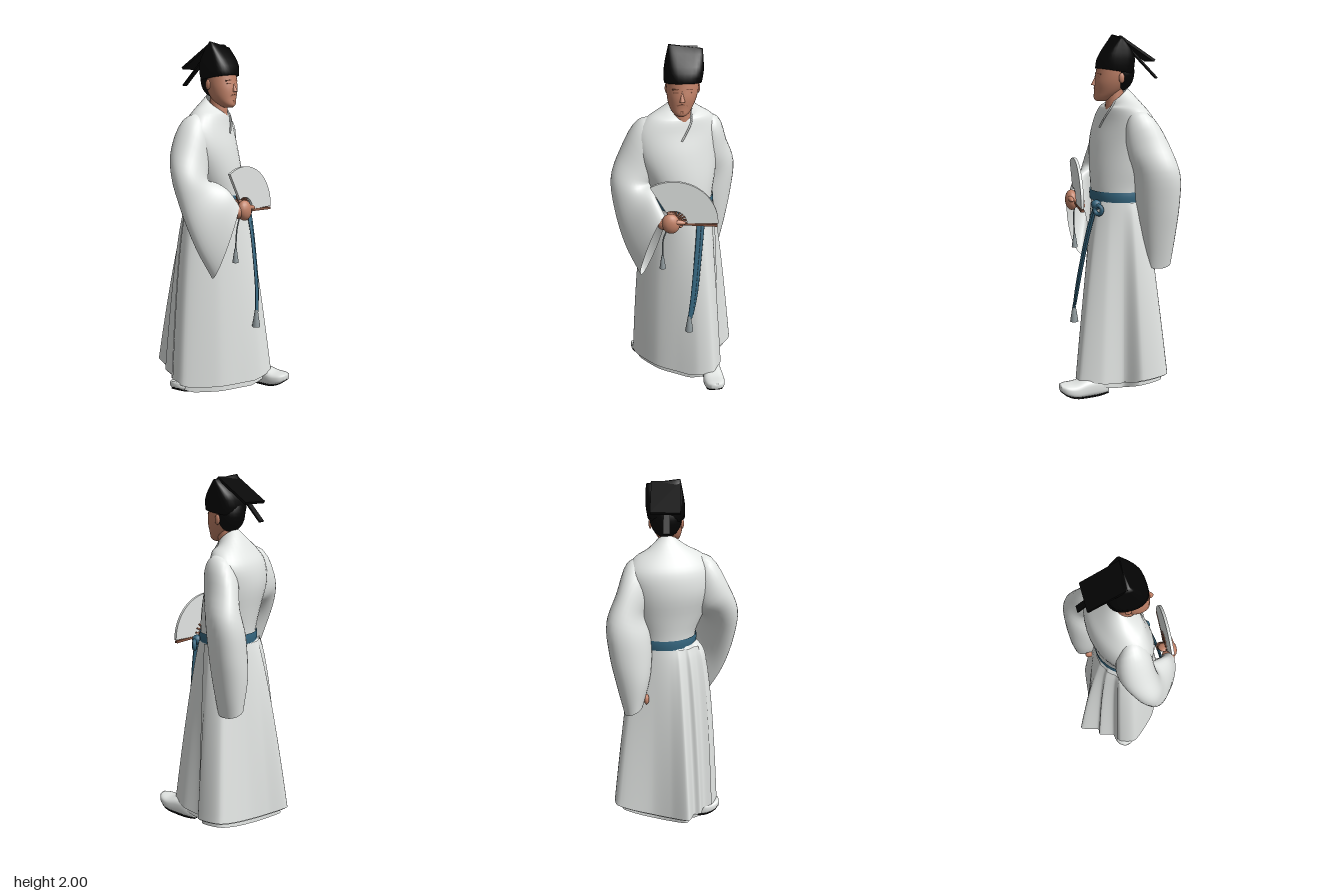
import * as THREE from 'three';

const V = (x, y, z) => new THREE.Vector3(x, y, z);
const mat = (name, color) => {
  const m = new THREE.MeshStandardMaterial({ color, side: THREE.DoubleSide });
  m.name = name;
  return m;
};

export function createModel() {
  const model = new THREE.Group();
  const robe = mat('robe white', 0xe2e5e3), skin = mat('skin', 0xc28268), black = mat('black cloth', 0x040404);
  const blue = mat('sash blue', 0x35667f), grey = mat('tassel grey', 0x8f999c), brown = mat('warm brown', 0x8a5742);

  const add = (name, geo, material, parent = model) => {
    const m = new THREE.Mesh(geo, material);
    m.name = name;
    parent.add(m);
    return m;
  };
  // Cross-section: centre c, half axes a and b; e < 1 makes it boxier
  const ring = (c, a, b, e = 1, n = 32) => Array.from({ length: n }, (_, i) => {
    const t = -i / n * Math.PI * 2, s = v => Math.sign(v) * Math.abs(v) ** e;
    return c.clone().addScaledVector(a, s(Math.cos(t))).addScaledVector(b, s(Math.sin(t)));
  });
  // Level ellipse, turned by yaw about the vertical
  const level = (y, cx, cz, rx, rz, yaw = 0) => {
    const c = Math.cos(yaw), s = Math.sin(yaw);
    return ring(V(cx, y, cz), V(rx * c, 0, -rx * s), V(rz * s, 0, rz * c));
  };
  // Skin through cross-sections, with steps in between along smooth curves
  const loft = (rings, { closed = true, steps = 4, caps = false } = {}) => {
    const n = rings[0].length, rows = (rings.length - 1) * steps;
    const cols = rings[0].map((_, j) => new THREE.CatmullRomCurve3(rings.map(r => r[j])));
    const pos = [], idx = [];
    for (let i = 0; i <= rows; i++) for (const c of cols) pos.push(...c.getPoint(i / rows).toArray());
    for (let i = 0; i < rows; i++) for (let j = 0; j < (closed ? n : n - 1); j++) {
      const a = i * n + j, b = i * n + (j + 1) % n;
      idx.push(a, b, a + n, b, b + n, a + n);
    }
    if (caps) for (const row of [0, rows]) {
      const mid = V(0, 0, 0), k = pos.length / 3;
      rings[row ? rings.length - 1 : 0].forEach(p => mid.addScaledVector(p, 1 / n));
      pos.push(...mid.toArray());
      for (let j = 0; j < n; j++) {
        const a = row * n + j, b = row * n + (j + 1) % n;
        row ? idx.push(a, b, k) : idx.push(b, a, k);
      }
    }
    const g = new THREE.BufferGeometry();
    g.setAttribute('position', new THREE.Float32BufferAttribute(pos, 3));
    g.setIndex(idx);
    g.computeVertexNormals();
    return g;
  };
  const tube = (pts, r) => new THREE.TubeGeometry(new THREE.CatmullRomCurve3(pts), 16, r, 8);

  // Upper robe, waist to collar
  add('upperRobe', loft([
    level(1.08, 0.045, -0.03, 0.165, 0.15, 0.25), level(1.16, 0.045, -0.03, 0.168, 0.152, 0.25),
    level(1.28, 0.03, -0.04, 0.205, 0.155, 0.3), level(1.42, 0.01, -0.06, 0.24, 0.153, 0.3),
    level(1.53, 0.015, -0.07, 0.24, 0.13, 0.3), level(1.605, 0.025, -0.06, 0.185, 0.1, 0.28),
    ring(V(0.028, 1.645, -0.04), V(0.105, 0, -0.02), V(0, -0.03, 0.075)),
    ring(V(0.033, 1.67, -0.025), V(0.06, 0, 0), V(0, -0.045, 0.055)),
  ]), robe);
  add('lapel', tube([V(0.085, 1.645, 0.0), V(0.085, 1.6, 0.03), V(0.06, 1.55, 0.056), V(0.03, 1.5, 0.074)], 0.005), robe);

  // Sleeves: each section has an outer point, an inner point and a half thickness
  const sleeve = (name, sections) => add(name, loft(sections.map(([o, i, t]) => {
    const O = V(...o), I = V(...i);
    return ring(O.clone().add(I).multiplyScalar(0.5), O.sub(I).multiplyScalar(0.5), V(...t), 0.95);
  })), robe);
  sleeve('rightSleeve', [
    [[-0.1, 1.615, -0.03], [-0.07, 1.46, -0.02], [0.02, 0, 0.05]],
    [[-0.2, 1.59, -0.035], [-0.1, 1.35, -0.03], [0.01, 0, 0.09]],
    [[-0.305, 1.42, -0.04], [-0.12, 1.28, -0.01], [-0.005, 0, 0.1]],
    [[-0.355, 1.28, -0.02], [-0.15, 1.25, 0.04], [-0.025, 0, 0.082]],
    [[-0.34, 1.1, 0.02], [-0.14, 1.24, 0.1], [-0.03, 0, 0.06]],
    [[-0.285, 0.89, 0.075], [-0.115, 1.2, 0.165], [-0.03, 0, 0.05]],
    [[-0.2, 0.715, 0.12], [-0.075, 1.12, 0.205], [-0.035, 0, 0.05]],
  ]);
  sleeve('leftSleeve', [
    [[0.16, 1.61, -0.09], [0.1, 1.46, -0.09], [0.02, 0, 0.05]],
    [[0.245, 1.575, -0.115], [0.13, 1.37, -0.12], [0.01, 0, 0.095]],
    [[0.305, 1.42, -0.16], [0.15, 1.3, -0.14], [-0.01, 0, 0.12]],
    [[0.355, 1.28, -0.195], [0.13, 1.2, -0.18], [-0.02, 0, 0.12]],
    [[0.345, 1.1, -0.2], [0.12, 1.08, -0.195], [-0.02, 0, 0.115]],
    [[0.315, 0.92, -0.2], [0.13, 0.94, -0.21], [-0.01, 0, 0.1]],
    [[0.275, 0.73, -0.205], [0.17, 0.78, -0.215], [0, 0, 0.075]],
  ]);

  // Skirt: waist ellipse flaring to a pleated hem outline (x, z pairs)
  const hem = new THREE.CatmullRomCurve3([
    [0, 0.19], [0.12, 0.25], [0.22, 0.25], [0.275, 0.13], [0.265, 0], [0.345, -0.08], [0.325, -0.23], [0.12, -0.265],
    [0.01, -0.31], [-0.09, -0.365], [-0.12, -0.26], [-0.16, -0.255], [-0.18, -0.17], [-0.245, -0.14], [-0.265, -0.04], [-0.13, 0.115],
  ].map(([x, z]) => V(x, 0, z)), true, 'catmullrom', 0.35);
  const skirtPoint = (u, t, grow, low) => {
    const h = hem.getPoint(u), a = Math.atan2(h.z + 0.03, h.x - 0.045);
    const flare = 0.78 - 0.4 * THREE.MathUtils.smoothstep(-h.x, 0.05, 0.25); // right side widens sooner
    const w = V(0.045 + 0.168 * Math.cos(a), 0, -0.03 + 0.15 * Math.sin(a)).lerp(h, t ** flare);
    const far = Math.max(0, Math.hypot(h.x, h.z) - 0.24);
    return V(0.03 + (w.x - 0.03) * grow, 1.12 - t * (1.12 - low - far * 0.35), -0.03 + (w.z + 0.03) * grow);
  };
  const skirt = (u0, u1, n, grow, low, t0, t1) => Array.from({ length: 8 }, (_, i) =>
    Array.from({ length: n }, (_, j) => skirtPoint((u0 + (u1 - u0) * j / n + 1) % 1, t0 + (t1 - t0) * (i / 7) ** 1.5, grow, low)));
  add('skirt', loft(skirt(0, 1, 112, 0.985, 0.06, 0, 1)), robe);
  add('backPanel', loft(skirt(0.25, 0.8, 66, 1.02, 0.07, 0.02, 1), { closed: false }), robe);
  add('innerRobe', loft(skirt(0, 1, 112, 0.9, 0.025, 0.6, 1), { steps: 1 }), robe);

  // Belt, knot and hanging sash
  add('belt', loft([
    level(1.1, 0.045, -0.03, 0.172, 0.158, 0.25), level(1.13, 0.045, -0.03, 0.175, 0.16, 0.25), level(1.155, 0.045, -0.03, 0.172, 0.158, 0.25),
  ], { steps: 2 }), blue);
  const knot = add('sashKnot', new THREE.SphereGeometry(0.028, 16, 12), blue);
  knot.position.set(0.14, 1.085, 0.125);
  const bow = add('sashLoop', new THREE.TorusGeometry(0.024, 0.012, 8, 20), blue);
  bow.position.set(0.165, 1.06, 0.12);
  bow.rotation.y = 0.7;
  const ribbon = (pts, w, d) => loft(pts.map(p => ring(V(...p), V(w, 0, 0), V(0, 0, d), 0.7, 12)), { caps: true });
  add('sashEnd', ribbon([[0.125, 1.09, 0.125], [0.115, 0.95, 0.165], [0.102, 0.8, 0.195], [0.085, 0.62, 0.225], [0.068, 0.48, 0.24]], 0.013, 0.006), blue);
  add('sashEnd', ribbon([[0.145, 1.08, 0.125], [0.132, 0.95, 0.158], [0.115, 0.78, 0.192], [0.098, 0.62, 0.219], [0.075, 0.5, 0.235]], 0.014, 0.006), blue);
  const tassel = (x, y, z, r, h) => add('tassel', new THREE.CylinderGeometry(r * 0.35, r, h, 12), grey).position.set(x, y, z);
  tassel(0.064, 0.445, 0.238, 0.024, 0.1);

  // Head, neck and face
  const head = new THREE.Group();
  head.name = 'head';
  model.add(head);
  add('neck', new THREE.CylinderGeometry(0.047, 0.054, 0.13, 20), skin, head).position.set(0.035, 1.65, -0.012);
  add('face', loft([
    level(1.642, 0.026, 0.062, 0.02, 0.025), level(1.655, 0.026, 0.057, 0.04, 0.045), level(1.69, 0.028, 0.032, 0.064, 0.07),
    level(1.74, 0.034, 0.016, 0.08, 0.087), level(1.79, 0.038, 0.005, 0.086, 0.09), level(1.85, 0.04, 0, 0.085, 0.085),
  ], { caps: true }), skin, head);
  const nose = add('nose', new THREE.ConeGeometry(0.015, 0.055, 12), skin, head);
  nose.position.set(0.029, 1.755, 0.101);
  nose.rotation.x = -0.2;
  const bar = (name, x, y, z, w, h, tilt) => {
    const m = add(name, new THREE.BoxGeometry(w, h, 0.008), brown, head);
    m.position.set(x, y, z);
    m.rotation.set(0, Math.sign(x - 0.03) * 0.3, tilt);
  };
  for (const s of [-1, 1]) {
    bar('eyebrow', 0.032 + s * 0.036, 1.79, 0.085, 0.036, 0.006, s * -0.12);
    bar('eye', 0.032 + s * 0.034, 1.773, 0.087, 0.026, 0.005, s * -0.08);
    bar('moustache', 0.029 + s * 0.014, 1.71, 0.097, 0.028, 0.006, s * -0.3);
    const ear = add('ear', new THREE.SphereGeometry(0.024, 12, 10), skin, head);
    ear.scale.set(0.4, 1.15, 0.7);
    ear.position.set(0.04 + s * 0.085, 1.768, -0.025);
  }
  add('beard', new THREE.BoxGeometry(0.016, 0.018, 0.006), brown, head).position.set(0.027, 1.672, 0.1);
  const hair = add('hair', new THREE.SphereGeometry(0.09, 24, 16), black, head);
  hair.scale.set(0.94, 1.13, 0.8);
  hair.position.set(0.042, 1.8, -0.047);

  // Wedge-shaped cap with a sloping back flap and ribbon
  const hat = new THREE.Group();
  hat.name = 'hat';
  model.add(hat);
  add('cap', loft([
    ring(V(0.04, 1.805, -0.006), V(0.1, 0, 0), V(0, 0.015, 0.1), 0.8), ring(V(0.045, 1.87, -0.015), V(0.104, 0, 0), V(0, 0, 0.098), 0.65),
    ring(V(0.05, 1.93, -0.02), V(0.098, -0.005, 0), V(0, 0, 0.062), 0.5), ring(V(0.055, 1.988, -0.02), V(0.09, -0.012, 0), V(0, 0, 0.01), 0.4),
  ], { caps: true, steps: 2 }), black, hat);
  const plate = (name, x, w, t, y0, z0, y1, z1) => {
    const m = add(name, new THREE.BoxGeometry(w, t, Math.hypot(y1 - y0, z1 - z0)), black, hat);
    m.position.set(x, (y0 + y1) / 2, (z0 + z1) / 2);
    m.rotation.x = Math.atan2(y1 - y0, z0 - z1);
  };
  plate('backFlap', 0.04, 0.155, 0.014, 1.985, -0.02, 1.86, -0.215);
  plate('capRibbon', 0.034, 0.034, 0.009, 1.92, -0.1, 1.765, -0.255);

  // Folding fan held in the right hand
  const fan = new THREE.Group();
  fan.name = 'fan';
  fan.position.set(-0.025, 1.08, 0.196);
  fan.rotation.y = -0.07;
  model.add(fan);
  const leaf = new THREE.Shape();
  leaf.absarc(0, 0, 0.245, 0, 2.1, false);
  leaf.absarc(0, 0, 0.075, 2.1, 0, true);
  add('fanLeaf', new THREE.ExtrudeGeometry(leaf, { depth: 0.016, bevelEnabled: false, curveSegments: 24 }), robe, fan);
  for (let i = 0; i <= 8; i++) {
    const a = -0.05 + i * 0.266, len = i === 0 ? 0.24 : 0.1;
    const rib = add('fanRib', new THREE.BoxGeometry(len, i === 0 ? 0.013 : 0.009, i === 0 ? 0.02 : 0.008), brown, fan);
    rib.position.set(Math.cos(a) * len / 2, Math.sin(a) * len / 2, i === 0 ? 0.008 : -0.002);
    rib.rotation.z = a;
  }
  add('fanCord', tube([V(-0.05, 1.06, 0.2), V(-0.08, 0.98, 0.2), V(-0.085, 0.86, 0.195)], 0.004), grey);
  tassel(-0.085, 0.835, 0.195, 0.018, 0.08);

  // Hands
  const ball = (name, p, s, r = 0) => {
    const m = add(name, new THREE.SphereGeometry(1, 16, 12), skin);
    m.position.set(...p);
    m.scale.set(...s);
    m.rotation.z = r;
  };
  ball('rightPalm', [-0.04, 1.085, 0.222], [0.05, 0.058, 0.036], 0.2);
  ball('rightWrist', [-0.075, 1.08, 0.2], [0.04, 0.04, 0.036], 0.1);
  ball('rightThumb', [0.002, 1.098, 0.235], [0.04, 0.014, 0.015], -0.15);
  for (let i = 0; i < 4; i++) ball('rightFinger', [-0.035 + i * 0.012, 1.13 - i * 0.024, 0.18], [0.03, 0.013, 0.028], -0.3);
  ball('leftHand', [0.15, 0.82, -0.215], [0.015, 0.03, 0.025]);

  // Shoes with upturned toes: z, half width, top, bottom
  const foot = [[-0.13, 0.03, 0.075, 0.006], [-0.08, 0.048, 0.105, 0.003], [0, 0.056, 0.105, 0.003], [0.07, 0.062, 0.088, 0.01], [0.12, 0.052, 0.088, 0.03], [0.15, 0.025, 0.088, 0.052]];
  for (const [name, x, z, turn] of [['leftShoe', 0.21, 0.21, 0.05], ['rightShoe', -0.125, -0.115, -1.42]]) {
    const shoe = new THREE.Group();
    shoe.name = name;
    shoe.position.set(x, 0, z);
    shoe.rotation.y = turn;
    model.add(shoe);
    add('shoeUpper', loft(foot.map(([fz, w, t, b]) => ring(V(0, (t + b) / 2, fz), V(w, 0, 0), V(0, (t - b) / 2, 0), 0.7)), { caps: true }), robe, shoe);
    add('shoeSole', loft(foot.map(([fz, w, , b]) => ring(V(0, b, fz), V(w * 0.8, 0, 0), V(0, 0.003, 0), 0.5)), { caps: true }), black, shoe);
  }
  return model;
}
